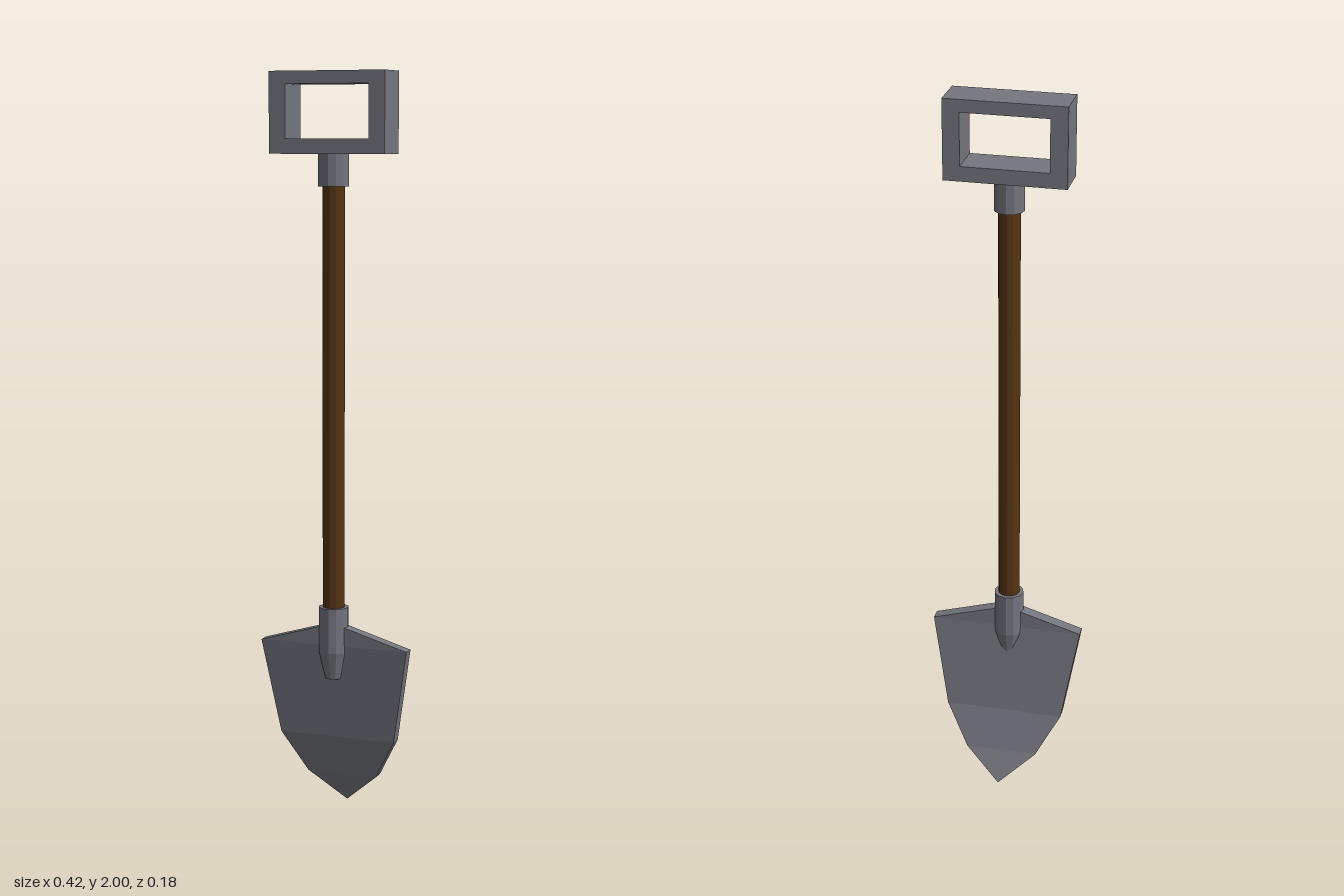
import * as THREE from 'three';

const metal = new THREE.MeshStandardMaterial({ color: 0x74767e, flatShading: true });
const wood = new THREE.MeshStandardMaterial({ color: 0x553413, flatShading: true });
const AXIS_X = -0.004, AXIS_Z = 0.035;

// Upright round part on the shaft axis, spanning y0..y1
function rod(name, rTop, rBottom, y0, y1, material) {
  const mesh = new THREE.Mesh(new THREE.CylinderGeometry(rTop, rBottom, y1 - y0, 12), material);
  mesh.name = name;
  mesh.position.set(AXIS_X, (y0 + y1) / 2, AXIS_Z);
  return mesh;
}

function rectangle(target, x0, x1, y0, y1) {
  target.moveTo(x0, y0);
  target.lineTo(x1, y0);
  target.lineTo(x1, y1);
  target.lineTo(x0, y1);
  target.closePath();
  return target;
}

// Rectangular grip with a hand opening
function makeGrip() {
  const frame = rectangle(new THREE.Shape(), -0.166, 0.158, 1.785, 2);
  frame.holes.push(rectangle(new THREE.Path(), -0.12, 0.113, 1.825, 1.966));
  const geometry = new THREE.ExtrudeGeometry(frame, { depth: 0.108, bevelEnabled: false });
  geometry.translate(0, 0, -0.02);
  const mesh = new THREE.Mesh(geometry, metal);
  mesh.name = 'grip';
  return mesh;
}

// Pointed blade: four-cornered cross-sections from tip to top, bent backwards towards the tip
function makeBlade() {
  // y, half width, front z, back z
  const rows = [
    [0, 0, -0.058, -0.09],
    [0.085, 0.1, -0.016, -0.049],
    [0.2, 0.165, 0.022, -0.012],
    [0.463, 0.211, 0.051, 0.018],
    [0.525, 0, 0.053, 0.018],
  ];
  const positions = [], index = [];
  for (const [y, w, front, back] of rows) {
    positions.push(-w, y, front, w, y, front, w, y, back, -w, y, back);
  }
  for (let r = 0; r < rows.length - 1; r++) {
    for (let c = 0; c < 4; c++) {
      const a = r * 4 + c, b = r * 4 + (c + 1) % 4;
      if (rows[r][1] > 0 || c % 2) index.push(a, b, b + 4);
      if (rows[r + 1][1] > 0 || c % 2) index.push(a, b + 4, a + 4);
      // Tip rows need only one triangle on the front and back
    }
  }
  const geometry = new THREE.BufferGeometry();
  geometry.setAttribute('position', new THREE.Float32BufferAttribute(positions, 3));
  geometry.setIndex(index);
  const flat = geometry.toNonIndexed();
  flat.computeVertexNormals();
  const mesh = new THREE.Mesh(flat, metal);
  mesh.name = 'blade';
  return mesh;
}

export function createModel() {
  const model = new THREE.Group();
  model.name = 'shovel';
  model.add(
    makeGrip(),
    rod('gripCollar', 0.041, 0.041, 1.7, 1.79, metal),
    rod('shaft', 0.03, 0.03, 0.55, 1.72, wood),
    rod('socket', 0.041, 0.041, 0.445, 0.568, metal),
    rod('socketTaper', 0.041, 0.023, 0.37, 0.445, metal),
    makeBlade(),
  );
  return model;
}
